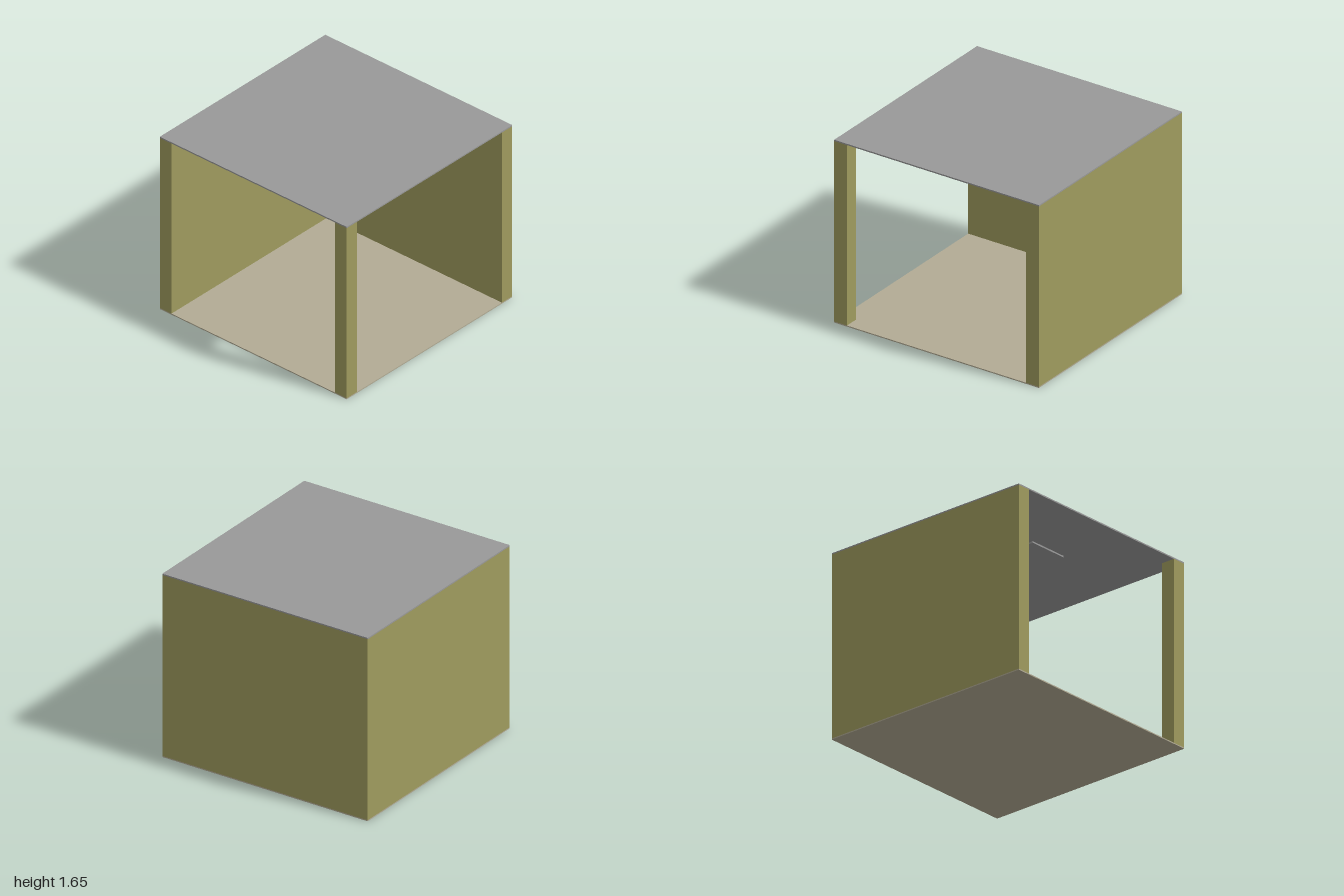
import * as THREE from 'three';

export function createModel() {
  const model = new THREE.Group();
  model.name = 'openCornerShelter';

  const material = (name, color) => {
    const m = new THREE.MeshStandardMaterial({ color });
    m.name = name;
    return m;
  };
  const olive = material('olive wall', 0x9f9b5e);
  const grey = material('grey roof', 0x999999);
  const beige = material('beige floor', 0xb2ab94);

  // Box given by its lower and upper corners
  const addBox = (name, mat, [x0, y0, z0], [x1, y1, z1]) => {
    const mesh = new THREE.Mesh(new THREE.BoxGeometry(x1 - x0, y1 - y0, z1 - z0), mat);
    mesh.position.set((x0 + x1) / 2, (y0 + y1) / 2, (z0 + z1) / 2);
    mesh.name = name;
    model.add(mesh);
  };

  const floorTop = 0.01, wallTop = 1.635, roofTop = 1.647;
  const inner = 0.875; // inside face of the walls and post

  // Thin slabs below and above
  addBox('floor', beige, [-1, 0, -1], [1, floorTop, 1]);
  addBox('roof', grey, [-1, wallTop, -1], [1, roofTop, 1]);

  // Two solid walls, with the other two sides open
  addBox('backWall', olive, [-1, floorTop, -1], [1, wallTop, -inner]);
  addBox('sideWall', olive, [-1, floorTop, -inner], [-inner, wallTop, 1]);

  // Square post at the open corner
  addBox('cornerPost', olive, [inner, floorTop, inner], [1, wallTop, 1]);

  // Flat panel under the ceiling
  addBox('ceilingPanel', grey, [-0.125, 1.621, -0.25], [0.25, wallTop, 0.375]);

  return model;
}
